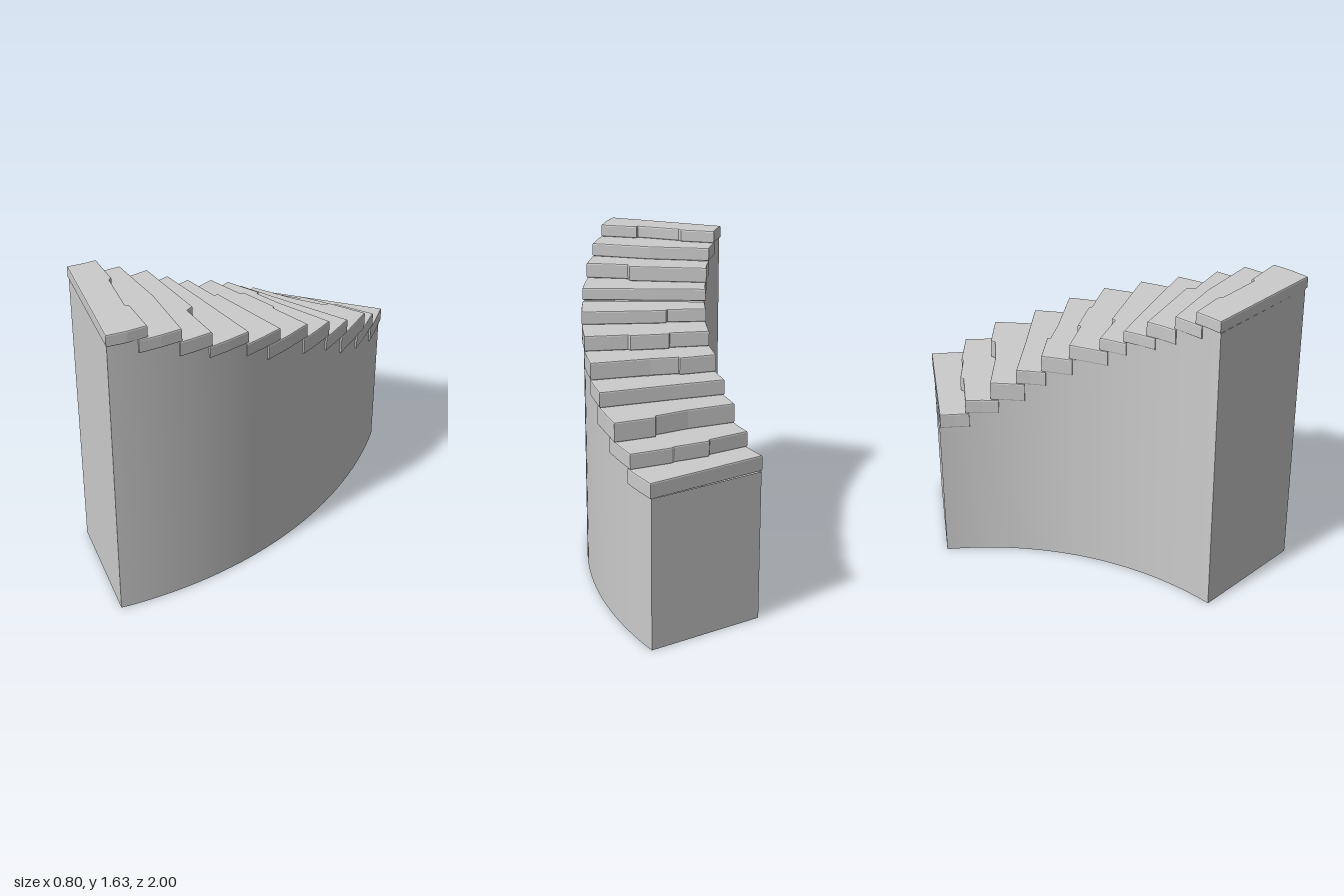
import * as THREE from 'three';

const CX = -1.85;                 // centre of the curve
const R_OUT = 2.245, R_IN = 1.612; // tread radii
const W_OUT = 2.236, W_IN = 1.619; // wall radii
const END = 0.4612;               // half angle of the whole flight
const BEVEL = 0.007;

// Each tread: bottom, top, outer z of its back edge, worn nosing as [x, z] from inner to outer side
const TREADS = [
  [0.77, 0.85, -0.80, [[-0.403, -0.71], [0.16, -1.0]]],
  [0.85, 0.93, -0.60, [[-0.35, -0.59], [-0.155, -0.68], [-0.15, -0.70], [0.02, -0.755], [0.035, -0.77], [0.235, -0.83]]],
  [0.93, 1.03, -0.42, [[-0.305, -0.47], [-0.07, -0.535], [0.09, -0.60], [0.095, -0.625], [0.295, -0.68]]],
  [1.03, 1.11, -0.27, [[-0.275, -0.34], [0, -0.395], [0.347, -0.47]]],
  [1.11, 1.20, -0.08, [[-0.25, -0.215], [-0.065, -0.25], [-0.06, -0.235], [0.08, -0.245], [0.377, -0.288]]],
  [1.20, 1.28, 0.175, [[-0.235, -0.075], [-0.035, -0.083], [-0.03, -0.10], [0.165, -0.108], [0.175, -0.095], [0.393, -0.10]]],
  [1.28, 1.35, 0.31, [[-0.24, 0.085], [-0.045, 0.10], [-0.035, 0.08], [0.393, 0.10]]],
  [1.355, 1.42, 0.52, [[-0.255, 0.21], [0, 0.245], [0.375, 0.302]]],
  [1.42, 1.50, 0.67, [[-0.275, 0.33], [0.12, 0.415], [0.125, 0.455], [0.338, 0.51]]],
  [1.50, 1.57, 0.86, [[-0.308, 0.475], [0, 0.55], [0.295, 0.66]]],
  [1.57, 1.635, null, [[-0.35, 0.585], [-0.18, 0.645], [-0.17, 0.665], [0.04, 0.765], [0.05, 0.75], [0.235, 0.815]]],
];

const onArc = (r, a) => [CX + r * Math.cos(a), r * Math.sin(a)];
const angleOf = ([x, z]) => Math.atan2(z, x - CX);

// Slab with softened edges, bounded by the nosing, both arcs and the back edge
function treadGeometry(bottom, top, nosing, backAngle) {
  const a0 = angleOf(nosing[nosing.length - 1]), a1 = angleOf(nosing[0]);
  const outline = [...nosing];
  for (const t of [0.5, 1]) outline.push(onArc(R_OUT, a0 + (backAngle - a0) * t));
  for (const t of [0, 0.5]) outline.push(onArc(R_IN, backAngle + (a1 - backAngle) * t));
  const shape = new THREE.Shape(outline.map(([x, z]) => new THREE.Vector2(x, -z)));
  const geo = new THREE.ExtrudeGeometry(shape, {
    depth: top - bottom - 2 * BEVEL, bevelEnabled: true,
    bevelThickness: BEVEL, bevelSize: BEVEL, bevelOffset: -BEVEL, bevelSegments: 2,
  });
  geo.rotateX(-Math.PI / 2);
  geo.translate(0, bottom + BEVEL, 0);
  return geo;
}

// Curved wall panel standing on the ground between two angles
function wallGeometry(r, height, a0, a1) {
  const geo = new THREE.CylinderGeometry(r, r, height, 5, 1, true, Math.PI / 2 - a1, a1 - a0);
  geo.translate(CX, height / 2, 0);
  return geo;
}

// Flat wall closing one end of the flight
function endGeometry(height, a) {
  const geo = new THREE.PlaneGeometry(W_OUT - W_IN, height);
  geo.translate((W_OUT + W_IN) / 2, height / 2, 0);
  geo.rotateY(-a);
  geo.translate(CX, 0, 0);
  return geo;
}

export function createModel() {
  const model = new THREE.Group();
  model.name = 'curvedStaircase';
  const stone = new THREE.MeshStandardMaterial({ color: 0xcccccc });
  const shell = new THREE.MeshStandardMaterial({ color: 0xcccccc, side: THREE.DoubleSide });
  const add = (name, geo, mat) => {
    const mesh = new THREE.Mesh(geo, mat);
    mesh.name = name;
    model.add(mesh);
  };

  // Treads, with the side walls stepping up beneath them
  let start = -END + 0.002;
  TREADS.forEach(([bottom, top, backZ, nosing], i) => {
    const back = backZ === null ? END : Math.asin(backZ / R_OUT);
    const wallEnd = backZ === null ? END - 0.002 : back;
    add(`tread${i + 1}`, treadGeometry(bottom, top, nosing, back), stone);
    add(`outerWall${i + 1}`, wallGeometry(W_OUT, bottom, start, wallEnd), shell);
    add(`innerWall${i + 1}`, wallGeometry(W_IN, bottom, start, wallEnd), shell);
    start = wallEnd;
  });

  // End walls; the underside stays open
  add('lowEndWall', endGeometry(TREADS[0][0], -END + 0.002), shell);
  add('highEndWall', endGeometry(TREADS[TREADS.length - 1][0], END - 0.002), shell);
  return model;
}
